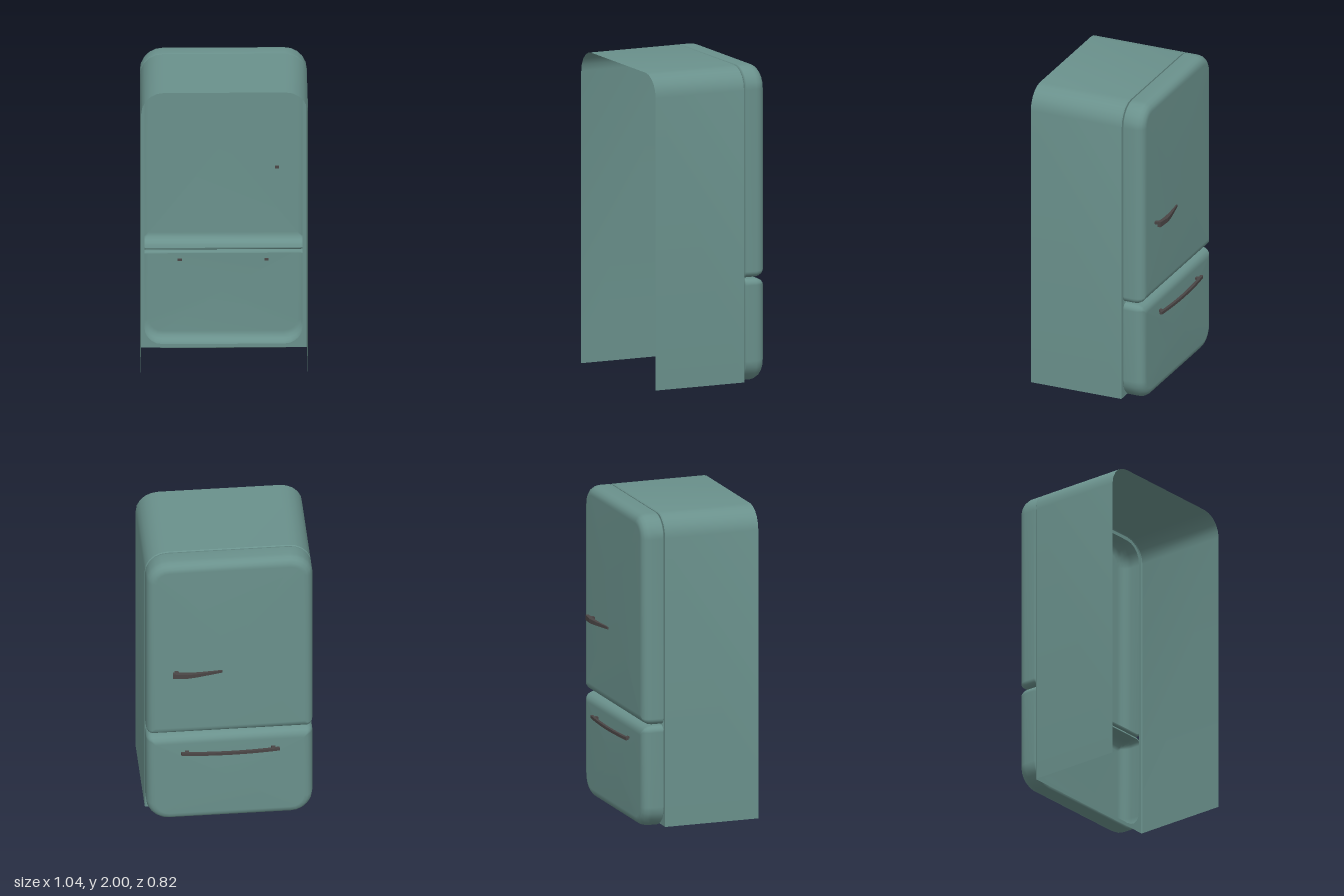
import * as THREE from 'three';
import { toCreasedNormals } from 'three/addons/utils/BufferGeometryUtils.js';

const enamel = new THREE.MeshStandardMaterial({ color: 0x6a918c, side: THREE.DoubleSide });
const dark = new THREE.MeshStandardMaterial({ color: 0x4a4545 });

// Rounded rectangle, counter-clockwise from bottom right; r = radii [br, tr, tl, bl].
function outline(x, y0, y1, r, inset = 0, seg = 5) {
  const pts = [];
  const corners = [[1, y0, 1], [1, y1, -1], [-1, y1, -1], [-1, y0, 1]];
  corners.forEach(([sx, y, sy], k) => {
    const rad = Math.max(r[k] - inset, 0.008);
    const cx = sx * (x - inset - rad), cy = y + sy * (inset + rad);
    for (let i = 0; i <= seg; i++) {
      const a = (k - 1 + i / seg) * Math.PI / 2;
      pts.push([cx + rad * Math.cos(a), cy + rad * Math.sin(a)]);
    }
  });
  return pts;
}

// Skin through cross-sections that run towards -z; optionally capped at the last one.
function skin(sections, closed, capped) {
  const pos = [], idx = [], n = sections[0].pts.length;
  sections.forEach(s => s.pts.forEach(p => pos.push(p[0], p[1], s.z)));
  const m = closed ? n : n - 1;
  for (let s = 0; s < sections.length - 1; s++) {
    for (let i = 0; i < m; i++) {
      const a = s * n + i, b = s * n + (i + 1) % n;
      idx.push(a, a + n, b, b, a + n, b + n);
    }
  }
  if (capped) {
    const last = sections[sections.length - 1], base = (sections.length - 1) * n;
    const ys = last.pts.map(p => p[1]);
    pos.push(0, (Math.min(...ys) + Math.max(...ys)) / 2, last.z);
    for (let i = 0; i < n; i++) idx.push(base + (i + 1) % n, base + i, base + n);
  }
  const g = new THREE.BufferGeometry();
  g.setAttribute('position', new THREE.Float32BufferAttribute(pos, 3));
  g.setIndex(idx);
  g.computeVertexNormals();
  return g;
}

function add(parent, name, geometry, material) {
  const mesh = new THREE.Mesh(geometry, material);
  mesh.name = name;
  parent.add(mesh);
  return mesh;
}

// Hollow door: narrow lip at the back, straight sides, rounded front edge.
function door(parent, name, y0, y1, r) {
  const profile = [[0.014, -0.216], [0.005, -0.218], [0, -0.224], [0, -0.295],
    [0.005, -0.318], [0.016, -0.338], [0.034, -0.352], [0.06, -0.358]];
  const sections = profile.map(([inset, z]) => ({ pts: outline(0.52, y0, y1, r, inset), z }));
  add(parent, name, skin(sections, true, true), enamel);
}

// Bar drawn from above as [x, distance in front], with a height h centred on y.
function bar(points, y, h) {
  const shape = new THREE.Shape(points.map(p => new THREE.Vector2(...p)));
  const g = new THREE.ExtrudeGeometry(shape, { depth: h, bevelEnabled: false });
  g.rotateX(-Math.PI / 2);
  g.translate(0, -h / 2, 0);
  g.userData.y = y;
  return g;
}

function post(parent, x, y, w, h, z) {
  const len = -z - 0.35;
  add(parent, 'handlePost', new THREE.BoxGeometry(w, h, len), dark).position.set(x, y, -0.35 - len / 2);
}

export function createModel() {
  const model = new THREE.Group();
  model.name = 'refrigerator';

  // Cabinet shell, open at the back and underneath
  const arch = inset => {
    const p = outline(0.52, 0, 2, [0.14, 0.14, 0.14, 0.14], inset).slice(6, 18);
    return [[0.52 - inset, 0.01], ...p, [-0.52 + inset, 0.01]];
  };
  const shell = skin([{ pts: arch(0), z: 0.41 }, { pts: arch(0), z: -0.204 },
    { pts: arch(0.005), z: -0.21 }], false, false);
  add(model, 'cabinetShell', toCreasedNormals(shell, 0.6), enamel);

  // Front flange around the opening
  const toV = pts => pts.map(p => new THREE.Vector2(...p));
  const flange = new THREE.Shape(toV(arch(0.005)));
  flange.holes.push(new THREE.Path(toV(outline(0.52, 0.005, 2, [0.14, 0.14, 0.14, 0.14], 0.028))));
  const flangeMesh = add(model, 'cabinetFlange', new THREE.ShapeGeometry(flange), enamel);
  flangeMesh.position.z = -0.21;

  // Doors
  door(model, 'upperDoor', 0.668, 2, [0.04, 0.14, 0.14, 0.04]);
  door(model, 'lowerDoor', 0, 0.66, [0.14, 0.04, 0.04, 0.14]);

  // Upper handle: swept lever tapering to a thin tip
  const upper = new THREE.Group();
  upper.name = 'upperHandle';
  const lever = bar([[0.05, 0.371], [0.12, 0.379], [0.2, 0.387], [0.27, 0.388], [0.36, 0.384],
    [0.36, 0.404], [0.27, 0.415], [0.2, 0.407], [0.12, 0.392], [0.05, 0.379]], 0, 0.034);
  const v = lever.attributes.position;
  for (let i = 0; i < v.count; i++) {
    v.setY(i, v.getY(i) * THREE.MathUtils.mapLinear(v.getX(i), 0.05, 0.36, 0.45, 1));
  }
  lever.computeVertexNormals();
  add(upper, 'upperLever', lever, dark).position.y = 1.168;
  post(upper, 0.335, 1.168, 0.026, 0.016, -0.39);
  model.add(upper);

  // Lower handle: bowed bar on two posts
  const lower = new THREE.Group();
  lower.name = 'lowerHandle';
  const inner = [], outer = [];
  for (let i = 0; i <= 8; i++) {
    const t = i / 4 - 1, d = 0.391 - 0.017 * t * t;
    inner.push([t * 0.308, d]);
    outer.unshift([t * 0.308, d + 0.018]);
  }
  add(lower, 'lowerBar', bar([...inner, ...outer], 0, 0.018), dark).position.y = 0.542;
  for (const s of [-1, 1]) post(lower, s * 0.27, 0.542, 0.026, 0.012, -0.382);
  model.add(lower);

  return model;
}
